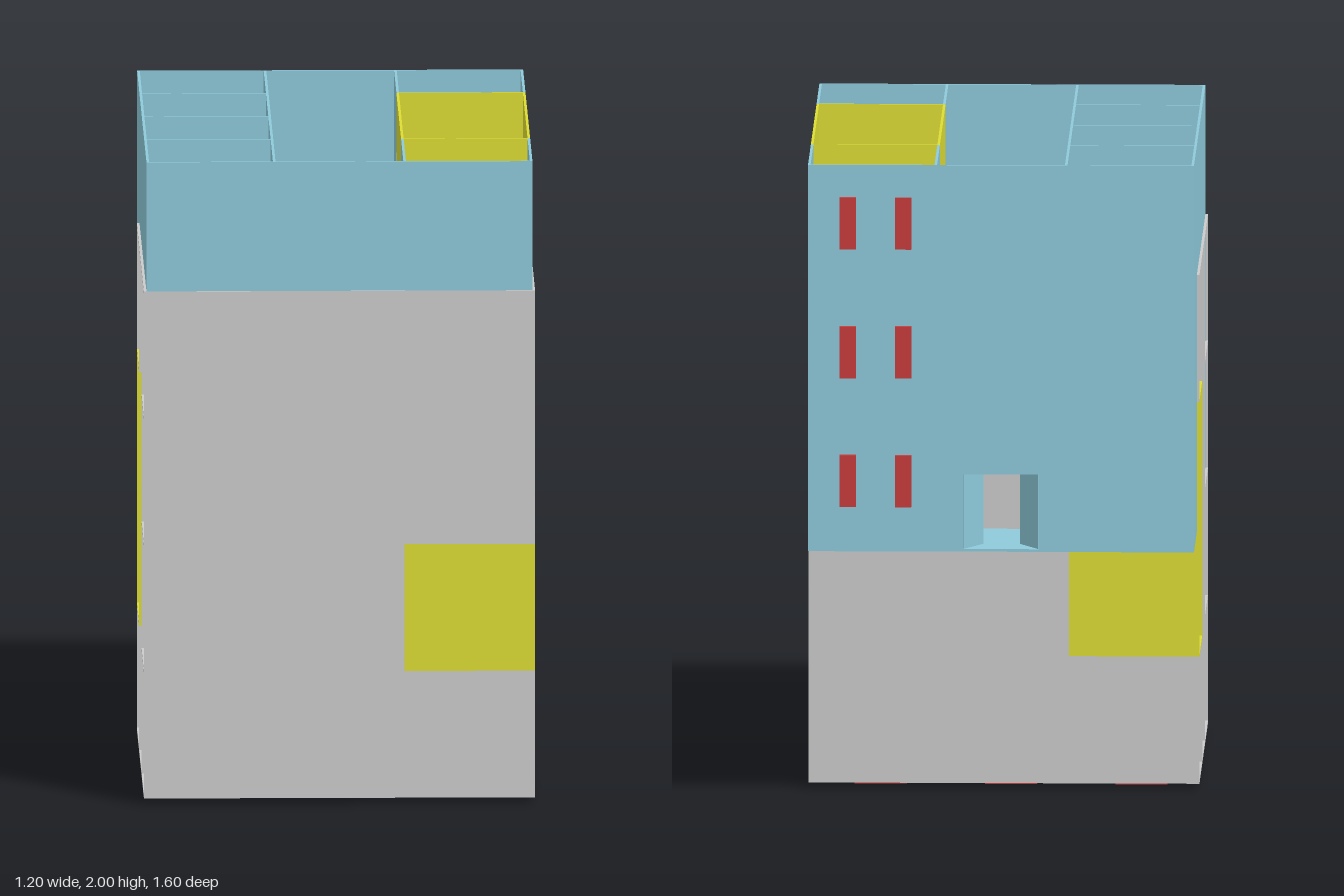
import * as THREE from 'three';

const T = 0.008;      // wall thickness
const W = 0.592;      // half width of a block
const L = 0.79;       // half length of a block
const BAY = 0.395;    // length of one room bay
const H = 0.4;        // storey height
const C = 0.2;        // half width of the corridor
const DOOR = 0.08, DOOR_H = 0.21;

const mat = (color) => new THREE.MeshStandardMaterial({ color, side: THREE.DoubleSide });
const blue = mat(0x8ecadb), grey = mat(0xcccccc), yellow = mat(0xdcdc34), red = mat(0xc83c3c);

// Box given by its lower and upper corners
function box(parent, name, m, x0, x1, y0, y1, z0, z1) {
  const mesh = new THREE.Mesh(new THREE.BoxGeometry(x1 - x0, y1 - y0, z1 - z0), m);
  mesh.position.set((x0 + x1) / 2, (y0 + y1) / 2, (z0 + z1) / 2);
  mesh.name = name;
  parent.add(mesh);
  return mesh;
}

// Open door leaf running from its hinge by (dx, dz)
function leaf(parent, m, x, y, z, dx, dz, h) {
  const len = Math.hypot(dx, dz);
  const mesh = new THREE.Mesh(new THREE.BoxGeometry(len, h, 0.004), m);
  mesh.position.set(x + dx / 2, y + h / 2, z + dz / 2);
  mesh.rotation.y = -Math.atan2(dz, dx);
  mesh.name = 'doorLeaf';
  parent.add(mesh);
}

// Corridor wall of one bay; door is -1 (near end), 1 (far end) or 0 (none)
function corridorWall(parent, m, side, y, z0, z1, door) {
  const x = side * C, a = x - T / 2, b = x + T / 2;
  if (!door) {
    box(parent, 'corridorWall', m, a, b, y, y + H, z0, z1);
    return;
  }
  const gap = 0.012; // jamb beside the partition
  const d0 = door < 0 ? z0 + gap : z1 - gap - DOOR, d1 = d0 + DOOR;
  box(parent, 'corridorWall', m, a, b, y, y + H, z0, d0);
  box(parent, 'corridorWall', m, a, b, y, y + H, d1, z1);
  box(parent, 'doorLintel', m, a, b, y + DOOR_H, y + H, d0, d1);
  const hinge = door < 0 ? d0 : d1;
  leaf(parent, m, x, y + T, hinge, side * 0.065, -door * 0.036, DOOR_H - T);
}

// Three-storey block with an open top: a corridor flanked by rooms
function building(name, m) {
  const g = new THREE.Group();
  g.name = name;

  // End walls, the near one with the entrance cut out
  const wall = new THREE.Shape();
  const e = 0.115, eh = 0.24;
  [[-W, 0], [-e, 0], [-e, eh], [e, eh], [e, 0], [W, 0], [W, 3 * H], [-W, 3 * H]]
    .forEach(([x, y], i) => (i ? wall.lineTo(x, y) : wall.moveTo(x, y)));
  const entrance = new THREE.Mesh(
    new THREE.ExtrudeGeometry(wall, { depth: T, bevelEnabled: false }), m);
  entrance.position.z = -L;
  entrance.name = 'entranceWall';
  g.add(entrance);
  box(g, 'endWall', m, -W, W, 0, 3 * H, L - T, L);
  for (const s of [-1, 1]) leaf(g, m, s * e, T, -L + T, -s * 0.058, 0.1, eh - T);

  for (let f = 0; f < 3; f++) {
    const y = f * H;
    box(g, 'floor', m, -W + 0.002, W - 0.002, y, y + T, -L + 0.002, L - 0.002);
    for (const side of [-1, 1]) {
      // Highlighted rooms: a single bay low down, a double bay at the top
      const big = f === 2 && side === 1;
      const isYellow = (bay) => (big && (bay === 1 || bay === 2)) ||
        (f === 0 && side === -1 && bay === 1);
      for (let bay = 0; bay < 4; bay++) {
        const z0 = -L + bay * BAY, z1 = z0 + BAY;
        const rm = isYellow(bay) ? yellow : m;
        const xo = side * W, xi = side * (W - T);
        box(g, 'outerWall', rm, Math.min(xo, xi), Math.max(xo, xi), y, y + H, z0, z1);
        const door = big && bay === 1 ? 0 : bay === 0 ? 1 : -1;
        corridorWall(g, rm, side, y, z0, z1, door);
        // Partition towards the next bay, left out inside the double room
        if (bay < 3 && !(big && bay === 1)) {
          const pm = isYellow(bay) || isYellow(bay + 1) ? yellow : m;
          const p0 = side * C, p1 = side * (W - T);
          box(g, 'partition', pm, Math.min(p0, p1), Math.max(p0, p1),
            y, y + H, z1 - T / 2, z1 + T / 2);
        }
      }
    }
    // Plain raised marker bars for each storey
    for (const x of [0.3, 0.47]) {
      box(g, 'storeyMarker', red, x - 0.025, x + 0.025, y + 0.14, y + 0.3, -L - 0.018, -L);
    }
  }
  return g;
}

export function createModel() {
  const model = new THREE.Group();
  model.name = 'interlockedBuildings';

  const upright = building('uprightBuilding', blue);
  upright.position.set(0, 0.8, 0.006);
  model.add(upright);

  // The same block tipped over so its open top faces -x and its entrance faces down
  const tipped = building('tippedBuilding', grey);
  tipped.quaternion.setFromRotationMatrix(new THREE.Matrix4().makeBasis(
    new THREE.Vector3(0, 0, -1), new THREE.Vector3(-1, 0, 0), new THREE.Vector3(0, 1, 0)));
  tipped.position.set(0.6, 0.808, 0.207);
  model.add(tipped);
  return model;
}
